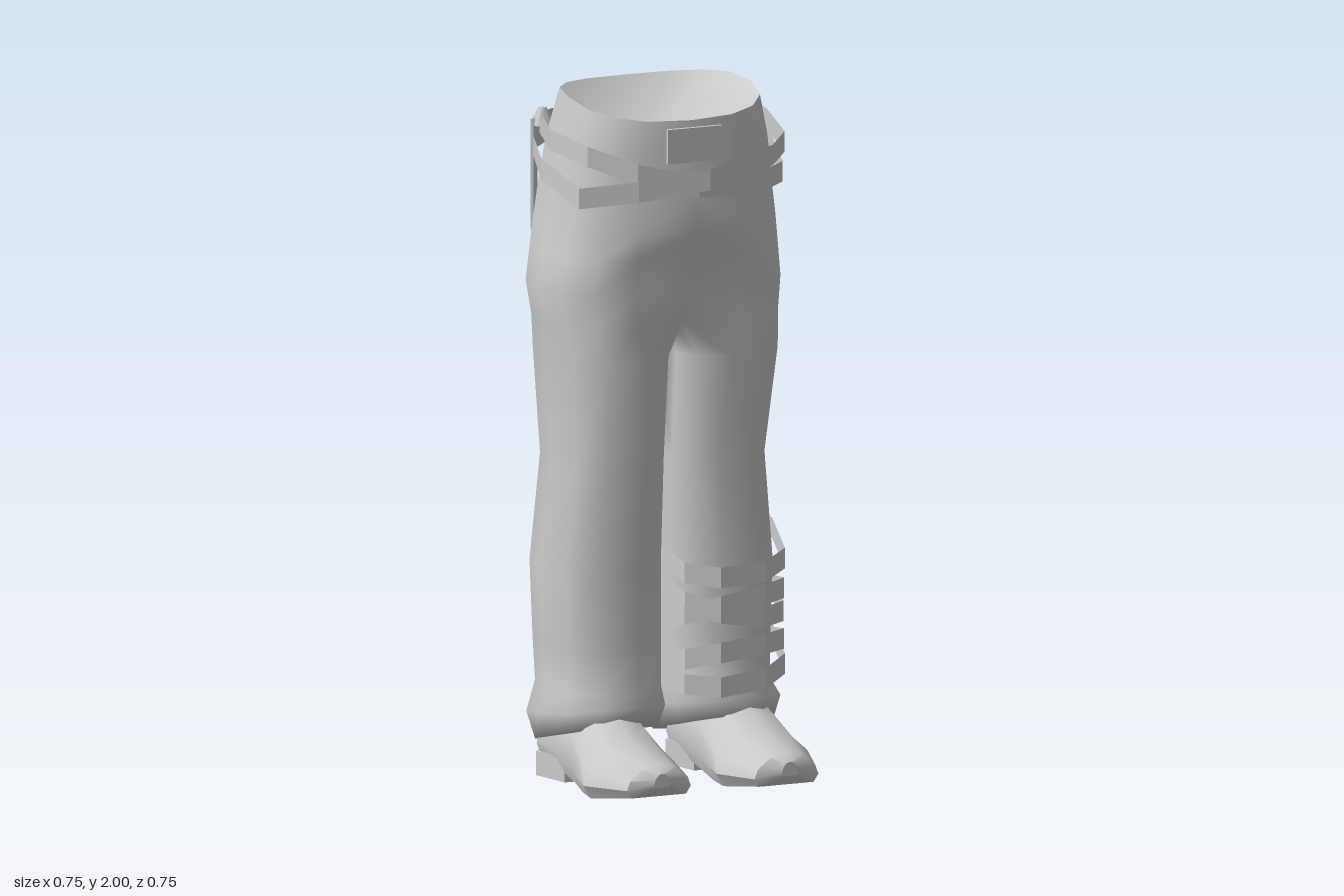
import * as THREE from 'three';
import { mergeVertices, toCreasedNormals } from 'three/addons/utils/BufferGeometryUtils.js';

const mat = new THREE.MeshStandardMaterial({ color: 0xcccccc, side: THREE.DoubleSide });

function addMesh(group, name, geo) {
  const m = new THREE.Mesh(geo, mat);
  m.name = name;
  group.add(m);
  return m;
}

function build(tris) {
  const g = new THREE.BufferGeometry();
  g.setAttribute('position', new THREE.Float32BufferAttribute(tris.flat(), 3));
  return g;
}

function smooth(tris) {
  const g = mergeVertices(build(tris), 1e-4);
  g.computeVertexNormals();
  return g;
}

function quad(out, a, b, c, d, flip = false) {
  if (flip) out.push(a, c, b, a, d, c);
  else out.push(a, b, c, a, c, d);
}

const spow = (v, p) => Math.sign(v) * Math.abs(v) ** p;

// Hip rows: y, half width, front z, back z, front and back shift of the centre seam, extra width on the right
const HIPS = [
  [1.99, 0.285, 0.14, -0.30, 0, -0.008, 0],
  [1.85, 0.31, 0.148, -0.32, 0, 0.003, 0],
  [1.72, 0.325, 0.152, -0.345, 0.018, 0.01, 0],
  [1.62, 0.34, 0.147, -0.347, 0.024, 0.03, 0],
  [1.54, 0.347, 0.145, -0.337, -0.04, 0.07, 0.008],
  [1.44, 0.355, 0.142, -0.318, -0.035, 0.1, 0.02],
  [1.34, 0.348, 0.136, -0.312, -0.06, 0.12, 0.01],
];
// Leg rows: y, centre x, half width, front z, back z, hem tilt
const LEGS = [
  [1.24, 0.17, 0.17, 0.128, -0.31, 0],
  [0.93, 0.157, 0.155, 0.085, -0.31, 0],
  [0.62, 0.175, 0.17, 0.07, -0.312, 0],
  [0.4, 0.171, 0.165, 0.075, -0.31, 0],
  [0.27, 0.17, 0.16, 0.08, -0.305, 0],
  [0.2, 0.18, 0.177, 0.11, -0.318, 0.035],
  [0.13, 0.182, 0.16, 0.09, -0.305, 0.055],
  [0.16, 0.19, 0.10, 0.04, -0.25, 0.03],
];

// Outer arc of 9 points, front to back, squarer behind
function hipRing([y, rx, zf, zb, f, b, extra], s, top) {
  const pts = [];
  const w = s < 0 ? rx + extra : rx;
  for (let j = 0; j <= 8; j++) {
    const a = (j / 8) * Math.PI;
    const c = Math.cos(a);
    let z = (zf + zb) / 2 + ((zf - zb) / 2) * spow(c, c > 0 || top ? 0.8 : 0.6);
    if (j === 0) z += f;
    if (j === 8) z += b;
    const dy = top ? (c > 0 ? -0.05 * c : 0.01 * Math.sin(a)) : 0;
    const x = w * Math.abs(Math.sin(a)) ** (c > 0 || top ? 0.8 : 0.6);
    pts.push([j % 8 ? s * x : 0, y + dy, z]);
  }
  return pts;
}

// Closed leg ring: 9 outer points, then 3 inner ones
function legRing([y, cx, rx, zf, zb, tilt], s) {
  const pts = [];
  const wide = s < 0 && y > 0.15 ? 0.014 : 0;
  for (let j = 0; j < 12; j++) {
    const deg = j <= 8 ? -45 + 33.75 * j : 225 + 22.5 * (j - 8);
    const a = THREE.MathUtils.degToRad(deg);
    const sn = Math.sin(a), c = Math.cos(a);
    pts.push([s * (cx + rx * spow(sn, c > 0 ? 0.9 : 0.8) + wide * Math.max(0, sn)), y + tilt * c,
      (zf + zb) / 2 + ((zf - zb) / 2) * spow(c, c > 0 ? 0.85 : 0.75)]);
  }
  return pts;
}

function trousers() {
  const out = [];
  for (const s of [1, -1]) {
    const rings = HIPS.map((r, i) => hipRing(r, s, i === 0));
    // the last hip row gains a seam under the crotch
    const seam = rings[rings.length - 1];
    const [f, b] = [seam[0], seam[8]];
    for (const t of [0.25, 0.5, 0.75])
      seam.push([0, f[1] - 0.03 * Math.sin(t * Math.PI), b[2] + (f[2] - b[2]) * t]);
    LEGS.forEach((r) => rings.push(legRing(r, s)));
    for (let i = 0; i < rings.length - 1; i++) {
      const n = i < HIPS.length - 1 ? 8 : 12;
      const p = rings[i], q = rings[i + 1];
      for (let j = 0; j < n; j++) {
        const k = (j + 1) % 12;
        quad(out, p[j], q[j], q[k], p[k], s < 0);
      }
    }
  }
  return smooth(out);
}

// Shallow bowl that closes the waist, sinking to a short centre line
function waistBowl() {
  const out = [];
  for (const s of [1, -1]) {
    const rim = hipRing(HIPS[0], s, true);
    const low = rim.map(([, , z]) => [0, 1.83, THREE.MathUtils.clamp(z, -0.175, 0)]);
    for (let j = 0; j < 8; j++) quad(out, rim[j], rim[j + 1], low[j + 1], low[j], s < 0);
  }
  return smooth(out);
}

// Flat band through a loop of [x, y, z] points
function ribbon(pts, h) {
  const out = [];
  const at = ([x, y, z], d) => [x, y + d, z];
  pts.forEach((p, i) => {
    const q = pts[(i + 1) % pts.length];
    quad(out, at(p, -h / 2), at(q, -h / 2), at(q, h / 2), at(p, h / 2));
  });
  const g = build(out);
  g.computeVertexNormals();
  return g;
}

// Shoe sections: z, centre x, half width, bottom y, top y
const SHOE = [
  [0.375, 0.2, 0.025, 0.06, 0.1],
  [0.35, 0.2, 0.1, 0.03, 0.12],
  [0.18, 0.208, 0.15, 0.003, 0.155],
  [0.1, 0.205, 0.14, 0.005, 0.2],
  [0.0, 0.2, 0.122, 0.015, 0.25],
  [-0.1, 0.2, 0.118, 0.03, 0.26],
  [-0.2, 0.203, 0.128, 0.045, 0.24],
  [-0.28, 0.203, 0.08, 0.045, 0.17],
];
const SECTION = [[-0.85, 0], [-1, 0.25], [-0.9, 0.55], [-0.5, 0.9], [0, 1],
  [0.5, 0.9], [0.9, 0.55], [1, 0.25], [0.85, 0]];

function shoe(s) {
  const rings = SHOE.map(([z, cx, w, y0, y1]) =>
    SECTION.map(([u, v]) => [s * cx + u * w, y0 + v * (y1 - y0), z]));
  const out = [];
  const n = SECTION.length;
  for (let i = 0; i < rings.length - 1; i++)
    for (let j = 0; j < n; j++) {
      const k = (j + 1) % n;
      quad(out, rings[i][j], rings[i][k], rings[i + 1][k], rings[i + 1][j], true);
    }
  const first = rings[0], last = rings[rings.length - 1];
  for (let j = 1; j < n - 1; j++)
    out.push(first[0], first[j + 1], first[j], last[0], last[j], last[j + 1]);
  return toCreasedNormals(build(out), 0.8);
}

function heel(s) {
  const sh = new THREE.Shape();
  [[-0.1, 0.07], [0.1, 0.07], [0.13, 0.2], [0.07, 0.28], [-0.07, 0.28], [-0.13, 0.2]]
    .forEach(([x, y], i) => (i ? sh.lineTo(x, y) : sh.moveTo(x, y)));
  const g = new THREE.ExtrudeGeometry(sh, { depth: 0.07, bevelEnabled: false });
  // stand the plan up: its y runs to the back, its depth upwards
  return g.rotateX(-Math.PI / 2).translate(s * 0.203, 0, 0);
}

export function createModel() {
  const model = new THREE.Group();
  model.name = 'trousersAndShoes';
  addMesh(model, 'trousers', trousers());
  addMesh(model, 'waistBowl', waistBowl());

  // Two belts that cross in front
  addMesh(model, 'outerBelt', ribbon([
    [0.03, 1.775, 0.202], [0.25, 1.82, 0.15], [0.318, 1.84, 0.08], [0.342, 1.87, -0.09],
    [0.32, 1.91, -0.25], [0.16, 1.92, -0.338], [-0.18, 1.87, -0.338], [-0.31, 1.83, -0.28],
    [-0.372, 1.79, -0.08], [-0.343, 1.735, 0.115], [-0.18, 1.75, 0.17]], 0.06));
  addMesh(model, 'innerBelt', ribbon([
    [0, 1.755, 0.19], [0.18, 1.74, 0.168], [0.305, 1.757, 0.095], [0.345, 1.81, -0.08],
    [0.29, 1.9, -0.28], [0.1, 1.9, -0.333], [-0.15, 1.89, -0.333], [-0.285, 1.88, -0.28],
    [-0.342, 1.87, -0.08], [-0.305, 1.85, 0.09], [-0.18, 1.8, 0.163]], 0.06));
  addMesh(model, 'buckle', new THREE.BoxGeometry(0.17, 0.1, 0.012)).position.set(0.005, 1.87, 0.146);

  // Hanging belt ends, each with a knot
  for (const [s, x, z, len, top] of [[1, 0.323, -0.23, 0.5, 1.9], [-1, 0.3, -0.262, 0.32, 1.9]]) {
    const end = new THREE.Group();
    end.name = s > 0 ? 'leftBeltEnd' : 'rightBeltEnd';
    end.position.set(s * x, top, z);
    end.rotation.y = s * 2.2;
    addMesh(end, 'strap', new THREE.BoxGeometry(0.06, len, 0.008)).position.set(0, -len / 2, 0.01);
    addMesh(end, 'knot', new THREE.CylinderGeometry(0.012, 0.036, 0.05, 5)).position.set(0, 0.005, -0.015);
    model.add(end);
  }

  // Wraps round the left shin: mid height, rise to the back, rise to the outside, size
  const plan = [[0.25, 0.1], [0.335, 0.045], [0.372, -0.12], [0.338, -0.31], [0.16, -0.372],
    [0.03, -0.325], [-0.004, -0.12], [0.02, 0.045], [0.11, 0.1]];
  [[0.665, 0.07, 0.01, 1], [0.54, 0.065, -0.03, 0.98], [0.475, -0.045, 0.03, 0.99],
    [0.35, 0.07, 0.02, 1], [0.335, -0.045, 0.02, 0.985]].forEach(([y, back, side, size], i) => {
    const pts = plan.map(([x, z]) => {
      const u = x - 0.185, v = z + 0.13;
      return [0.185 + u * size, y - (back * v) / 0.23 + (side * u) / 0.185, v * size - 0.13];
    });
    addMesh(model, 'shinWrap' + (i + 1), ribbon(pts, 0.06));
  });

  // Shoes
  for (const s of [1, -1]) {
    const g = new THREE.Group();
    g.name = s > 0 ? 'leftShoe' : 'rightShoe';
    addMesh(g, 'upper', shoe(s));
    addMesh(g, 'heel', heel(s));
    model.add(g);
  }
  return model;
}
